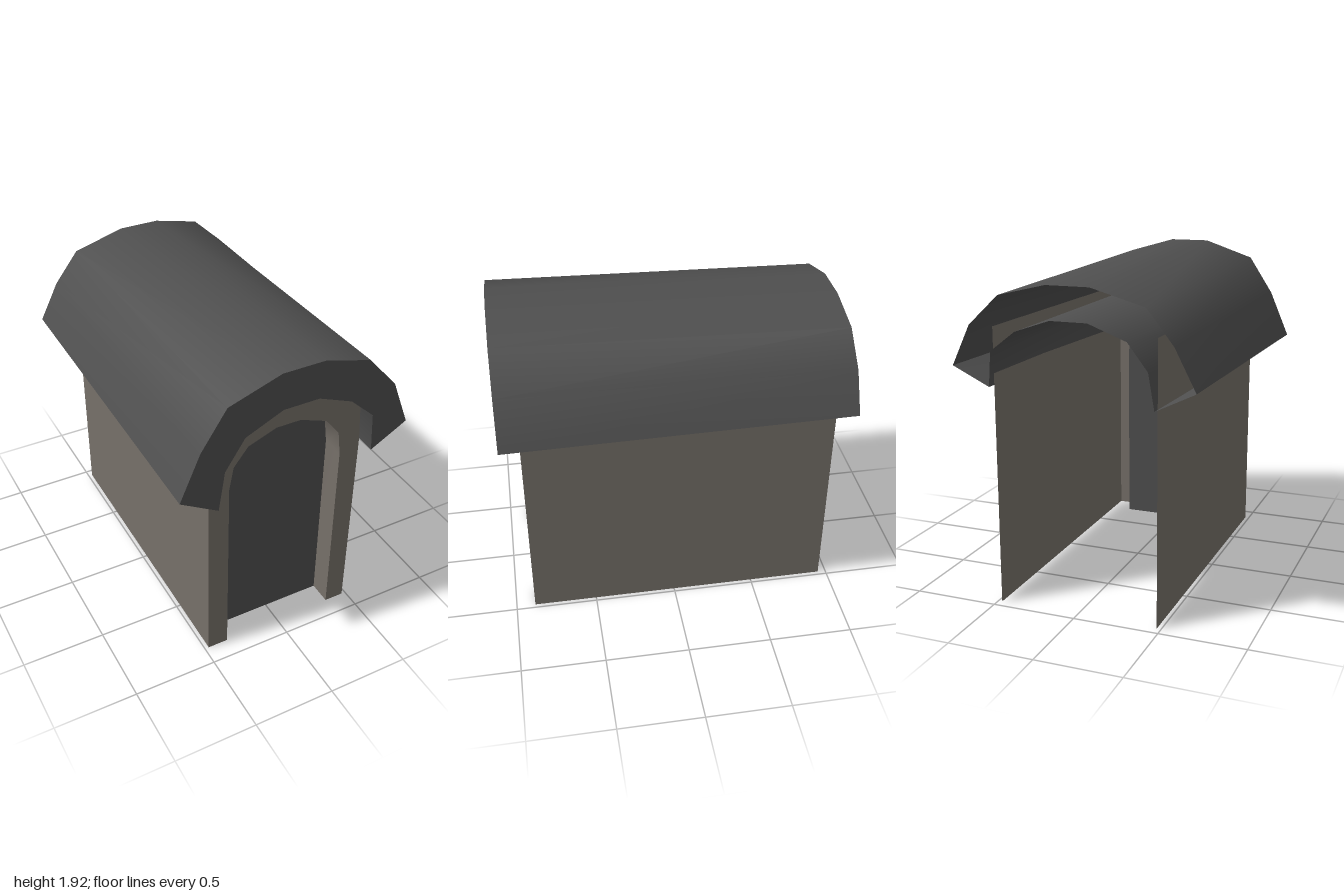
import * as THREE from 'three';

const mat = (name, color) => {
  const m = new THREE.MeshStandardMaterial({ color, side: THREE.DoubleSide });
  m.name = name;
  return m;
};

// Profiles run from the -x side over the crown to the +x side
const OUTER = [[-0.7, 1.31], [-0.58, 1.59], [-0.43, 1.82], [-0.12, 1.925], [0.13, 1.925],
  [0.41, 1.845], [0.59, 1.64], [0.7, 1.36]];
const INNER = [[-0.475, 1.175], [-0.44, 1.42], [-0.325, 1.6], [-0.105, 1.7], [0.11, 1.7],
  [0.315, 1.615], [0.465, 1.475], [0.48, 1.235]];
const OPENING = [[-0.35, 0], [-0.35, 1.18], [-0.325, 1.325], [-0.24, 1.435], [-0.07, 1.5],
  [0.08, 1.5], [0.25, 1.435], [0.335, 1.325], [0.355, 1.17], [0.355, 0]];

// The roof flattens slightly towards the back
const atBack = ([x, y]) => [x, 1.855 - (1.925 - y) * 0.826];
const rev = (p) => [...p].reverse();

// Open strip between a front profile and a back profile
function loft(front, back, zFront, zBack) {
  const pos = [], index = [], n = front.length;
  front.forEach(([x, y]) => pos.push(x, y, zFront));
  back.forEach(([x, y]) => pos.push(x, y, zBack));
  for (let i = 0; i < n - 1; i++) {
    index.push(i, i + 1, n + i, i + 1, n + i + 1, n + i);
  }
  const g = new THREE.BufferGeometry();
  g.setAttribute('position', new THREE.Float32BufferAttribute(pos, 3));
  g.setIndex(index);
  g.computeVertexNormals();
  return g;
}

// Flat polygon facing +z
function face(points, z) {
  const shape = new THREE.Shape(points.map(([x, y]) => new THREE.Vector2(x, y)));
  return new THREE.ShapeGeometry(shape).translate(0, 0, z);
}

export function createModel() {
  const model = new THREE.Group();
  model.name = 'archedDormer';
  const roofMat = mat('dark roofing', 0x4f4f4f);
  const wallMat = mat('warm grey wall', 0x767069);
  const panelMat = mat('dark panel', 0x4e4e4e);

  const add = (parent, name, geometry, material) => {
    const mesh = new THREE.Mesh(geometry, material);
    mesh.name = name;
    parent.add(mesh);
  };

  // Hollow roof: outer shell, inner vault, front fascia and slanted eaves, open at the back
  const roof = new THREE.Group();
  roof.name = 'roof';
  model.add(roof);
  add(roof, 'outerShell', loft(OUTER, OUTER.map(atBack), 1, -1), roofMat);
  add(roof, 'innerVault', loft(rev(INNER), rev(INNER).map(atBack), 1, -1), roofMat);
  add(roof, 'frontFascia', face([...OUTER, ...rev(INNER)], 1), roofMat);
  const last = OUTER.length - 1;
  const rightEave = [INNER[0], OUTER[0]];
  const leftEave = [OUTER[last], INNER[last]];
  add(roof, 'rightEave', loft(rightEave, rightEave.map(atBack), 1, -1), roofMat);
  add(roof, 'leftEave', loft(leftEave, leftEave.map(atBack), 1, -1), roofMat);

  // Thin side walls running up between the two roof shells
  for (const [name, s] of [['leftWall', 1], ['rightWall', -1]]) {
    const edge = s > 0 ? [[0.475, 1.61], [0.475, 0]] : [[-0.475, 0], [-0.475, 1.61]];
    add(model, name, loft(edge, edge, 0.885, -0.95), wallMat);
  }

  // Front frame with its recessed arch
  const outline = [[-0.475, 0], ...INNER, [0.475, 0]];
  add(model, 'frontFrame', face([...outline, ...rev(OPENING)], 0.885), wallMat);
  const reveal = loft(rev(OPENING), rev(OPENING), 0.885, 0.745);
  add(model, 'frameReveal', reveal, wallMat);
  add(model, 'recessedPanel', face(OPENING, 0.745), panelMat);

  return model;
}
